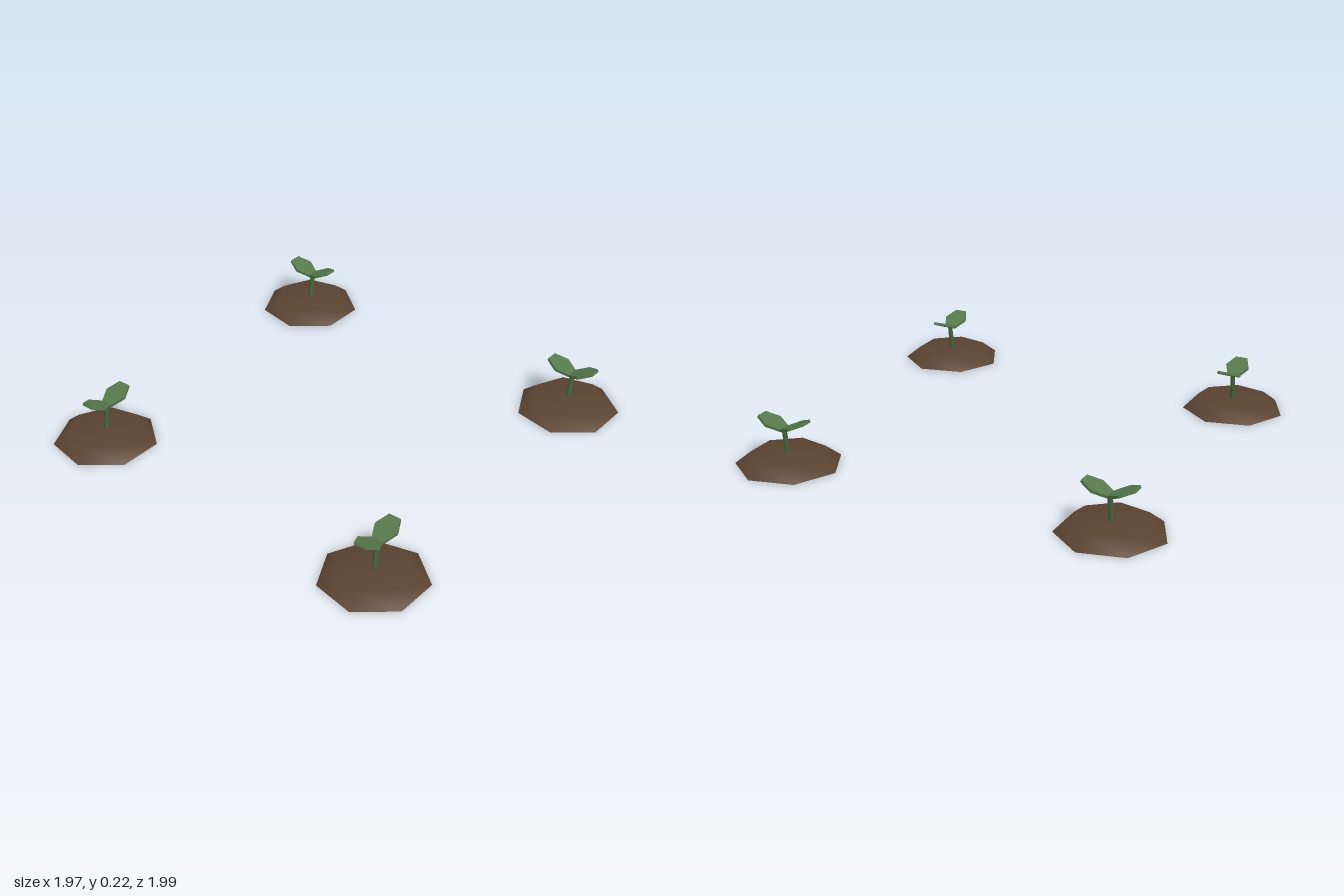
import * as THREE from 'three';

const soil = new THREE.MeshStandardMaterial({ color: 0x5a4330 });
soil.name = 'soil brown';
const stemGreen = new THREE.MeshStandardMaterial({ color: 0x46683c });
stemGreen.name = 'stem green';
const leafGreen = new THREE.MeshStandardMaterial({ color: 0x56794a });
leafGreen.name = 'leaf green';

const R = 0.233, H = 0.053;

function part(name, geometry, material) {
  const mesh = new THREE.Mesh(geometry, material);
  mesh.name = name;
  return mesh;
}

// Seven-sided heap with a soft rim, one corner pointing to the back
const profile = [[R, 0], [0.165, H], [0, H]].map(([x, y]) => new THREE.Vector2(x, y));
const moundGeo = new THREE.LatheGeometry(profile, 7, Math.PI);
const baseGeo = new THREE.CircleGeometry(R, 7, Math.PI / 2).rotateX(Math.PI / 2).scale(1, 1, -1);
baseGeo.index.array.reverse();
baseGeo.rotateX(Math.PI).scale(1, 1, 1);

// Slightly leaning stem
const stemGeo = new THREE.CylinderGeometry(0.011, 0.014, 0.17, 5)
  .rotateZ(-0.15).translate(0.013, 0.085, 0);

// Six-sided leaf reaching along +x and rising outwards
const leafGeo = new THREE.CylinderGeometry(0.055, 0.055, 0.012, 6)
  .scale(1.3, 1, 1).translate(0.062, 0, 0).rotateZ(0.39).toNonIndexed();
leafGeo.computeVertexNormals();

function createSprout(x, z, turn) {
  const sprout = new THREE.Group();
  sprout.name = 'sprout';
  sprout.position.set(x, 0, z);
  sprout.add(part('mound', moundGeo, soil));

  // Underside of the heap
  const base = part('moundBase', new THREE.CircleGeometry(R, 7, Math.PI / 2), soil);
  base.rotation.x = Math.PI / 2;
  base.scale.y = 1;
  base.rotation.z = Math.PI;
  sprout.add(base);

  sprout.add(part('stem', stemGeo, stemGreen));
  for (const side of [0, Math.PI]) {
    const leaf = part('leaf', leafGeo, leafGreen);
    leaf.position.set(0.021, 0.167, 0);
    leaf.rotation.y = turn + side;
    sprout.add(leaf);
  }
  return sprout;
}

export function createModel() {
  const model = new THREE.Group();
  model.name = 'seedlings';
  model.add(
    createSprout(-0.725, -0.73, 0),
    createSprout(0.752, -0.762, Math.PI / 2),
    createSprout(-0.763, 0.784, 0),
    createSprout(0.752, 0.746, Math.PI / 2),
  );
  return model;
}
